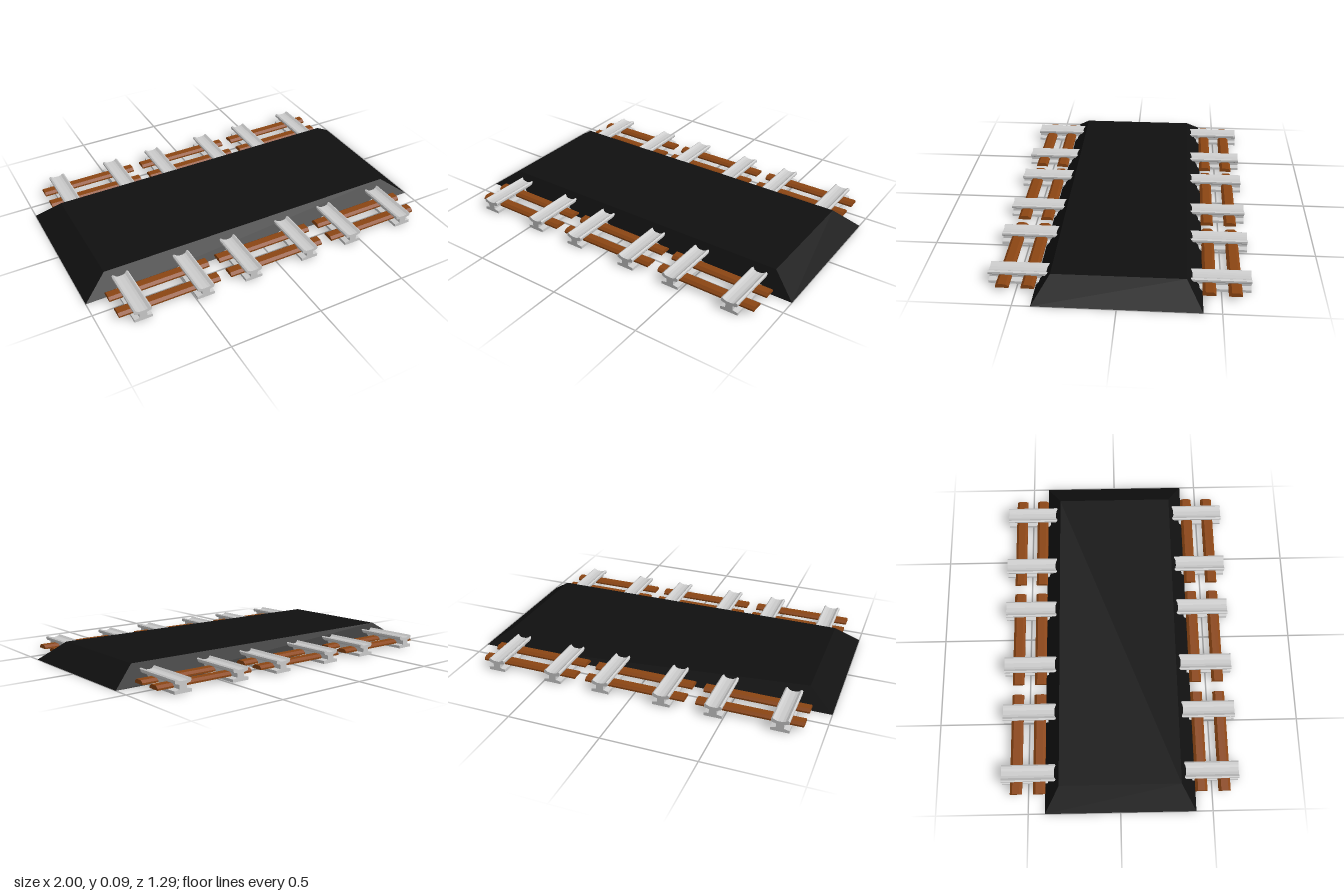
import * as THREE from 'three';

const RAIL_LENGTH = 1.29;
const TIE_LENGTH = 0.556;

const material = (color) => new THREE.MeshStandardMaterial({ color, flatShading: true });

// Closed shape from the right half of a symmetric profile, listed bottom to top
function mirroredShape(half) {
  const left = half.map(([x, y]) => [-x, y]).reverse();
  return new THREE.Shape([...half, ...left].map(([x, y]) => new THREE.Vector2(x, y)));
}

// Extrude a profile along z, centred on z = 0
function bar(half, length) {
  const geometry = new THREE.ExtrudeGeometry(mirroredShape(half), { depth: length, bevelEnabled: false });
  return geometry.translate(0, 0, -length / 2);
}

// Road slab with sloping sides: a box whose top is drawn in
function slabGeometry() {
  const height = 0.095;
  const geometry = new THREE.BoxGeometry(2, height, 0.82).translate(0, height / 2, 0);
  const p = geometry.attributes.position;
  for (let i = 0; i < p.count; i++) {
    if (p.getY(i) > 0.01) {
      p.setX(i, Math.sign(p.getX(i)) * 0.865);
      p.setZ(i, Math.sign(p.getZ(i)) * 0.33);
    }
  }
  geometry.computeVertexNormals();
  return geometry;
}

export function createModel() {
  const model = new THREE.Group();
  model.name = 'railCrossing';
  const steel = material(0xcccccc);
  const wood = material(0x8b4513);

  const road = new THREE.Mesh(slabGeometry(), material(0x101010));
  road.name = 'roadSlab';
  model.add(road);

  // Rail section: flared foot, narrow web and head with a dished top
  const railGeometry = bar([
    [0.048, 0.003], [0.048, 0.018], [0.02, 0.023], [0.02, 0.045],
    [0.042, 0.051], [0.046, 0.057], [0.046, 0.068], [0.038, 0.073], [0.025, 0.064], [0.012, 0.061],
  ], RAIL_LENGTH);

  // Sleeper with bevelled upper edges, lying along x
  const tieGeometry = bar([
    [0.033, 0.022], [0.033, 0.031], [0.019, 0.043],
  ], TIE_LENGTH).rotateY(Math.PI / 2);

  // Three parallel tracks, each with two rails and ten sleepers
  [-0.619, -0.002, 0.616].forEach((x) => {
    const track = new THREE.Group();
    track.name = 'track';
    track.position.x = x;
    for (const side of [-1, 1]) {
      const rail = new THREE.Mesh(railGeometry, steel);
      rail.name = side > 0 ? 'leftRail' : 'rightRail';
      rail.position.x = side * 0.17;
      track.add(rail);
    }
    for (let i = 0; i < 10; i++) {
      const tie = new THREE.Mesh(tieGeometry, wood);
      tie.name = 'sleeper';
      tie.position.z = (i - 4.5) * 0.1257;
      track.add(tie);
    }
    model.add(track);
  });

  return model;
}
